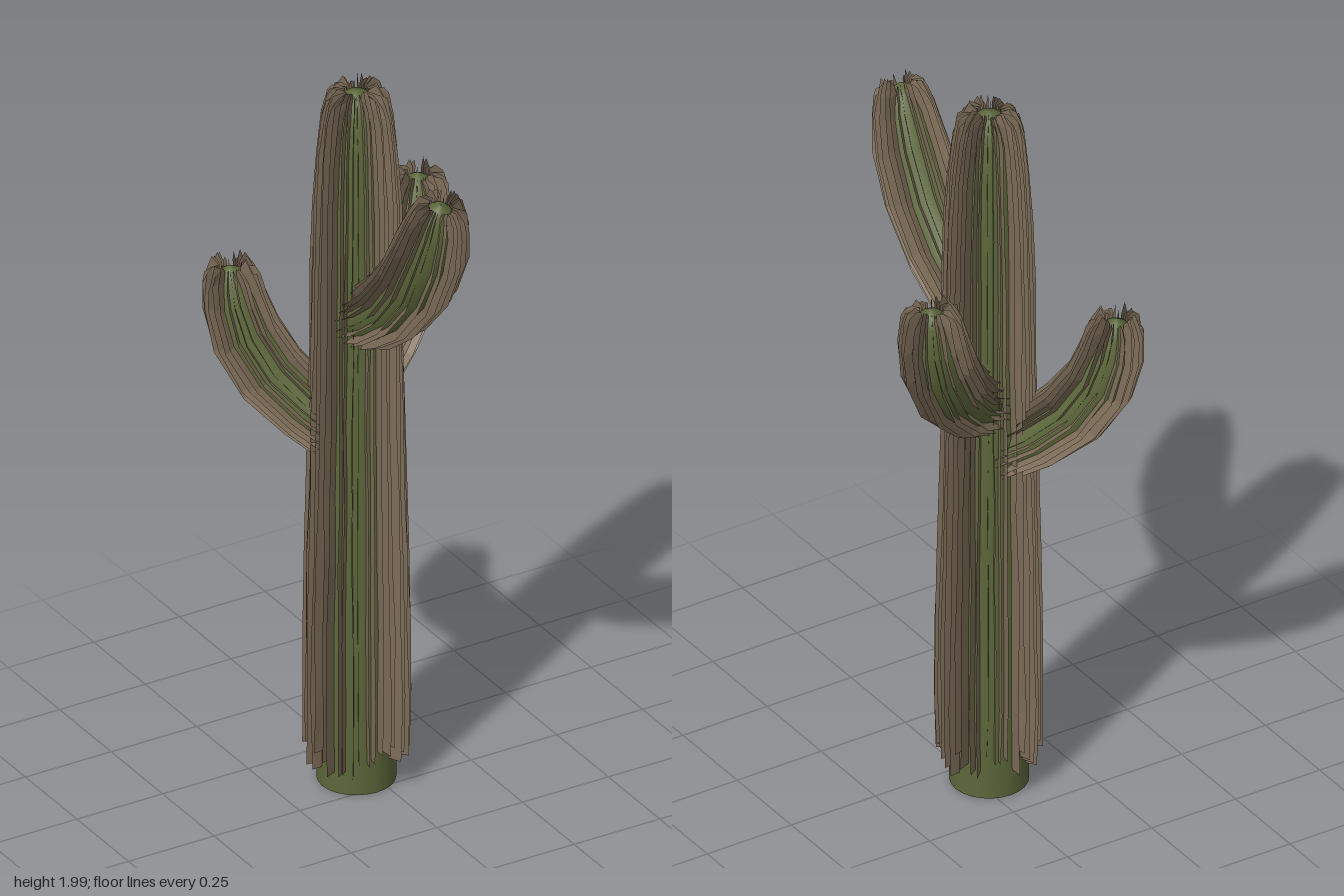
import * as THREE from 'three';

const GREEN = new THREE.MeshStandardMaterial({ color: 0x5c673a, name: 'cactus green' });
const BROWN = new THREE.MeshStandardMaterial({ color: 0x7c6b57, name: 'dry spine brown', side: THREE.DoubleSide });
BROWN.flatShading = true;

const CX = -0.037, CZ = -0.08; // trunk axis

// small seeded generator, -1..1
let seed = 7;
function jitter() {
  seed = (seed * 16807) % 2147483647;
  return (seed / 2147483647) * 2 - 1;
}

// rows: [distance from trunk axis, height, core radius, fin radius]
function frames(rows, heading) {
  const c = Math.cos(heading), s = Math.sin(heading);
  return rows.map(([d, y, core, fin], i) => {
    const a = rows[Math.max(i - 1, 0)], b = rows[Math.min(i + 1, rows.length - 1)];
    const t = new THREE.Vector2(b[0] - a[0], b[1] - a[1]).normalize();
    // point at angle a, radius r, moved by `shift` along the stem
    const at = (ang, r, shift = 0) => {
      const u = Math.cos(ang) * r, w = Math.sin(ang) * r;
      const dd = d + t.y * u + t.x * shift;
      return [CX + dd * c - w * s, y - t.x * u + t.y * shift, CZ + dd * s + w * c];
    };
    return { core, fin, at };
  });
}

function geometry(positions, index) {
  const g = new THREE.BufferGeometry();
  g.setAttribute('position', new THREE.Float32BufferAttribute(positions, 3));
  g.setIndex(index);
  g.computeVertexNormals();
  return g;
}

// smooth green body swept along the stem
function coreGeometry(fr, sides = 24) {
  const pos = [], idx = [];
  fr.forEach((f, i) => {
    for (let j = 0; j < sides; j++) {
      pos.push(...f.at((j / sides) * Math.PI * 2, Math.max(f.core, 0.001)));
      if (i === fr.length - 1) continue;
      const a = i * sides + j, b = i * sides + ((j + 1) % sides);
      idx.push(a, a + sides, b, b, a + sides, b + sides);
    }
  });
  return geometry(pos, idx);
}

// thin ragged ribs standing radially on the body
function finGeometry(fr, count, first, raggedStart) {
  const pos = [], idx = [];
  for (let k = 0; k < count; k++) {
    const ang = ((k + jitter() * 0.25) / count) * Math.PI * 2;
    const size = 1 + jitter() * 0.04;
    for (let i = first; i < fr.length; i++) {
      const f = fr[i], last = i === fr.length - 1;
      const shift = i === first ? jitter() * raggedStart : last ? 0.008 + jitter() * 0.016 : jitter() * 0.012;
      const a = ang + jitter() * 0.025;
      const n = pos.length / 3;
      pos.push(...f.at(a, Math.max(f.core - 0.012, 0.03), last ? 0 : shift));
      pos.push(...f.at(a, f.fin * size * (1 + jitter() * 0.025), shift));
      if (!last) idx.push(n, n + 1, n + 2, n + 1, n + 3, n + 2);
    }
  }
  return geometry(pos, idx);
}

function stem(name, rows, heading, count, first = 0, raggedStart = 0) {
  const g = new THREE.Group();
  g.name = name;
  const fr = frames(rows, heading);
  const core = new THREE.Mesh(coreGeometry(fr), GREEN);
  core.name = name + 'Body';
  const fins = new THREE.Mesh(finGeometry(fr, count, first, raggedStart), BROWN);
  fins.name = name + 'Ribs';
  g.add(core, fins);
  return g;
}

export function createModel() {
  seed = 7;
  const model = new THREE.Group();
  model.name = 'cactus';

  const trunk = stem('trunk', [
    [0, 0, 0.1, 0.13], [0, 0.095, 0.1, 0.13], [0, 0.25, 0.1, 0.133], [0, 0.45, 0.1, 0.131],
    [0, 0.65, 0.098, 0.128], [0, 0.85, 0.096, 0.123], [0, 1.05, 0.093, 0.119], [0, 1.25, 0.09, 0.116],
    [0, 1.45, 0.088, 0.114], [0, 1.65, 0.084, 0.109], [0, 1.8, 0.077, 0.101], [0, 1.9, 0.065, 0.09],
    [0, 1.945, 0.045, 0.079], [0, 1.962, 0.028, 0.068], [0, 1.972, 0, 0.05],
  ], 0, 40, 1, 0.04);

  // underside of the trunk
  const base = new THREE.Mesh(new THREE.CircleGeometry(0.1, 24), GREEN);
  base.name = 'trunkBase';
  base.rotation.x = Math.PI / 2;
  base.position.set(CX, 0, CZ);
  trunk.add(base);

  const frontArm = stem('frontArm', [
    [0.03, 1.33, 0.065, 0.085], [0.1, 1.375, 0.07, 0.092], [0.2, 1.455, 0.074, 0.099],
    [0.29, 1.56, 0.077, 0.102], [0.355, 1.68, 0.073, 0.097], [0.39, 1.77, 0.057, 0.082],
    [0.403, 1.815, 0.036, 0.068], [0.408, 1.828, 0.022, 0.06], [0.412, 1.838, 0, 0.045],
  ], Math.PI / 2, 26);

  const leftArm = stem('leftArm', [
    [0.03, 1.125, 0.065, 0.085], [0.13, 1.185, 0.07, 0.092], [0.22, 1.27, 0.073, 0.097],
    [0.288, 1.38, 0.073, 0.097], [0.318, 1.47, 0.064, 0.088], [0.326, 1.535, 0.045, 0.077],
    [0.327, 1.556, 0.028, 0.066], [0.327, 1.57, 0, 0.048],
  ], -0.54, 26);

  const rightArm = stem('rightArm', [
    [0.03, 0.975, 0.065, 0.085], [0.13, 1.04, 0.07, 0.09], [0.225, 1.125, 0.071, 0.094],
    [0.29, 1.225, 0.07, 0.092], [0.318, 1.315, 0.06, 0.083], [0.328, 1.375, 0.042, 0.073],
    [0.33, 1.397, 0.028, 0.063], [0.331, 1.412, 0, 0.046],
  ], -(Math.PI - 0.84), 26);

  model.add(trunk, frontArm, leftArm, rightArm);
  return model;
}
